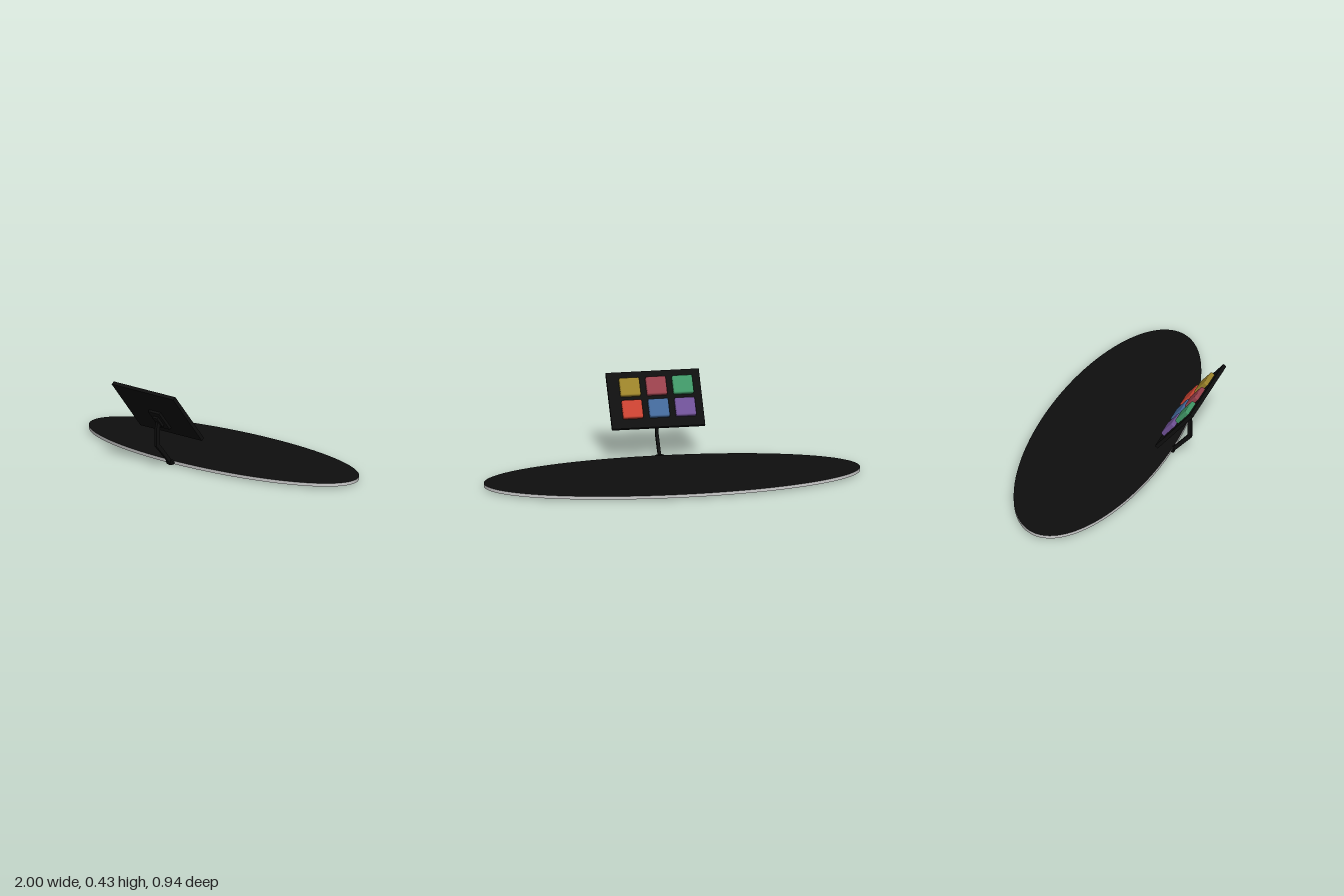
import * as THREE from 'three';
import { RoundedBoxGeometry } from 'three/addons/geometries/RoundedBoxGeometry.js';

const mat = (name, color) => {
  const m = new THREE.MeshStandardMaterial({ color });
  m.name = name;
  return m;
};

export function createModel() {
  const model = new THREE.Group();
  model.name = 'ovalDeskWithKeypad';

  const black = mat('black', 0x0e0e0e);
  const silver = mat('silver', 0xcccccc);
  const keyColours = [
    [mat('green', 0x3f9465), mat('crimson', 0x97404b), mat('yellow', 0x9b8229)],
    [mat('purple', 0x6e5095), mat('blue', 0x426798), mat('red', 0xc84130)],
  ];

  const add = (parent, name, geometry, material, x = 0, y = 0, z = 0) => {
    const mesh = new THREE.Mesh(geometry, material);
    mesh.name = name;
    mesh.position.set(x, y, z);
    parent.add(mesh);
    return mesh;
  };

  // Thin oval top with a silver rim
  const oval = new THREE.CylinderGeometry(1, 1, 0.017, 96);
  oval.scale(1, 1, 0.368);
  add(model, 'ovalTop', oval, [silver, black, black], 0, 0.0165, -0.102);

  // Small oval mounting foot on the front edge
  const foot = new THREE.CylinderGeometry(0.03, 0.03, 0.012, 24);
  foot.rotateX(Math.PI / 2);
  foot.scale(1, 0.5, 1);
  add(model, 'mountingFoot', foot, black, 0, 0.015, 0.269);

  // Bent arm: side profile as (z, y), extruded across x
  const profile = [
    [0.272, 0.004], [0.37, 0.113], [0.37, 0.212], [0.356, 0.268],
    [0.334, 0.262], [0.348, 0.208], [0.348, 0.123], [0.264, 0.024],
  ].map(([z, y]) => new THREE.Vector2(z, y));
  const arm = new THREE.ExtrudeGeometry(new THREE.Shape(profile), { depth: 0.016, bevelEnabled: false });
  arm.translate(0, 0, -0.008);
  arm.rotateY(-Math.PI / 2);
  add(model, 'bentArm', arm, black);

  // Tilted keypad: the keys are on its local -z side
  const keypad = new THREE.Group();
  keypad.name = 'keypad';
  keypad.position.set(0, 0.303, 0.361);
  keypad.rotation.x = THREE.MathUtils.degToRad(38.6);
  model.add(keypad);

  add(keypad, 'panel', new THREE.BoxGeometry(0.495, 0.319, 0.02), black, 0.007, 0, 0);
  add(keypad, 'bracketPlate', new THREE.BoxGeometry(0.09, 0.12, 0.016), black, 0, -0.05, 0.016);
  add(keypad, 'bracketBlock', new THREE.BoxGeometry(0.04, 0.062, 0.014), black, 0, -0.05, 0.03);

  // Six soft-edged keys
  const key = new RoundedBoxGeometry(0.108, 0.102, 0.03, 3, 0.008);
  keyColours.forEach((row, r) => row.forEach((material, c) => {
    add(keypad, `${material.name}Key`, key, material, -0.003 + (c - 1) * 0.141, r ? -0.057 : 0.069, -0.018);
  }));

  return model;
}
